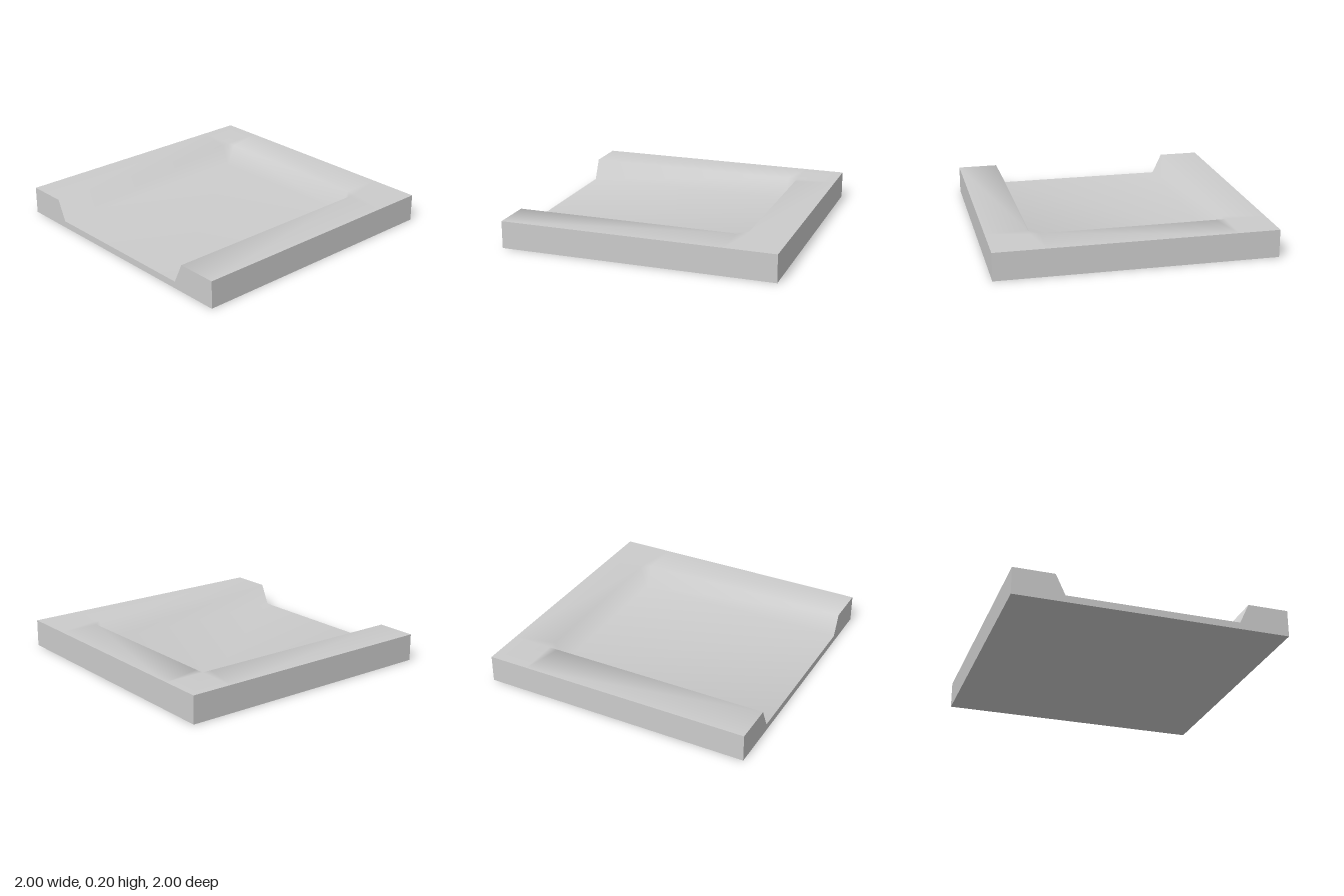
import * as THREE from 'three';

const HEIGHT = 0.2, FLOOR = 0.05;
const LIP = 0.7, FOOT = 0.63; // top and bottom of the sloped channel walls

export function createModel() {
  const group = new THREE.Group();
  const material = new THREE.MeshStandardMaterial({ color: 0xcccccc });
  const add = (name, geometry) => {
    const mesh = new THREE.Mesh(geometry, material);
    mesh.name = name;
    group.add(mesh);
    return mesh;
  };

  // Top surface: a coarse smooth grid, sunk where the channel runs
  const xs = [-1, FOOT, LIP, 1];
  const zs = [-1, -LIP, -FOOT, FOOT, LIP, 1];
  const top = new THREE.PlaneGeometry(2, 2, xs.length - 1, zs.length - 1).rotateX(-Math.PI / 2);
  const pos = top.attributes.position;
  for (let i = 0; i < pos.count; i++) {
    const x = xs[i % xs.length], z = zs[Math.floor(i / xs.length)];
    const sunk = x <= FOOT && Math.abs(z) <= FOOT;
    pos.setXYZ(i, x, sunk ? FLOOR : HEIGHT, z);
  }
  top.computeVertexNormals();
  add('channelTop', top);

  // Three plain walls
  const wall = (name, angle) =>
    add(name, new THREE.PlaneGeometry(2, HEIGHT).translate(0, HEIGHT / 2, 1).rotateY(angle));
  wall('frontWall', 0);
  wall('closedEndWall', Math.PI / 2);
  wall('backWall', Math.PI);

  // Open end showing the channel profile
  const profile = new THREE.Shape([
    [-1, 0], [1, 0], [1, HEIGHT], [LIP, HEIGHT], [FOOT, FLOOR],
    [-FOOT, FLOOR], [-LIP, HEIGHT], [-1, HEIGHT],
  ].map(([z, y]) => new THREE.Vector2(z, y)));
  add('openEndWall', new THREE.ShapeGeometry(profile).translate(0, 0, 1).rotateY(-Math.PI / 2));

  // Underside
  add('underside', new THREE.PlaneGeometry(2, 2).rotateX(Math.PI / 2));

  return group;
}
